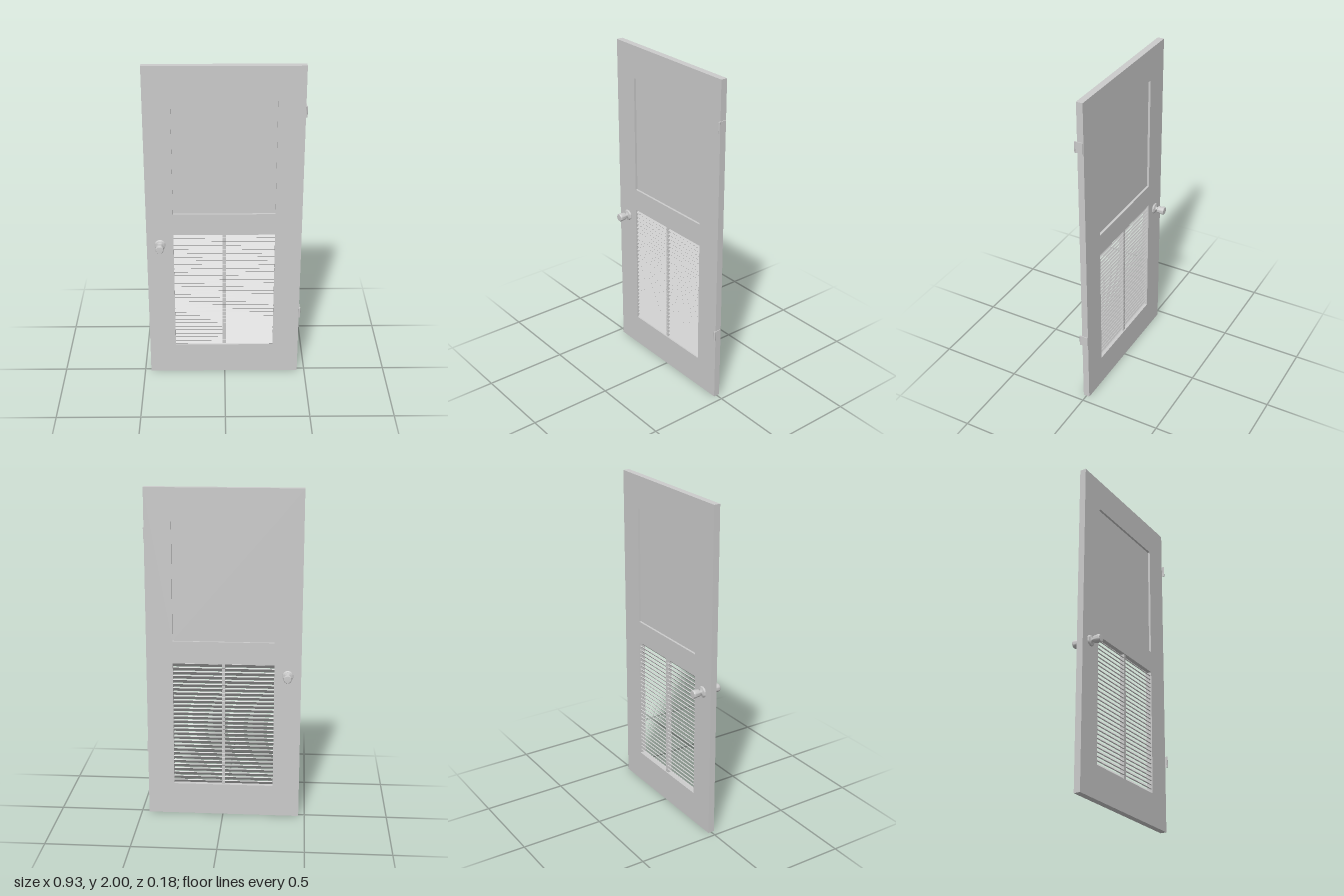
import * as THREE from 'three';
import { toCreasedNormals } from 'three/addons/utils/BufferGeometryUtils.js';

const LEFT = -0.463, RIGHT = 0.455, HEIGHT = 2, THICK = 0.039;
const OPEN = { x0: -0.304, x1: 0.298 };
const PANEL = { y0: 1.097, y1: 1.805 };
const LOUVRE = { y0: 0.194, y1: 0.962 };
const KNOB = { x: -0.384, y: 0.897 };

export function createModel() {
  const group = new THREE.Group();
  const material = new THREE.MeshStandardMaterial({ color: 0xcccccc });

  const add = (name, geometry, x, y, z, parent = group) => {
    const mesh = new THREE.Mesh(geometry, material);
    mesh.name = name;
    mesh.position.set(x, y, z);
    parent.add(mesh);
    return mesh;
  };
  const rectangle = (target, x0, y0, x1, y1) => {
    target.moveTo(x0, y0).lineTo(x1, y0).lineTo(x1, y1).lineTo(x0, y1).closePath();
    return target;
  };

  // Door slab with two rectangular openings
  const slab = rectangle(new THREE.Shape(), LEFT, 0, RIGHT, HEIGHT);
  for (const o of [PANEL, LOUVRE])
    slab.holes.push(rectangle(new THREE.Path(), OPEN.x0, o.y0, OPEN.x1, o.y1));
  add('doorFrame', new THREE.ExtrudeGeometry(slab, { depth: THICK, bevelEnabled: false }),
    0, 0, -THICK / 2);

  // Recessed upper panel
  const midX = (OPEN.x0 + OPEN.x1) / 2, openWidth = OPEN.x1 - OPEN.x0;
  add('upperPanel', new THREE.BoxGeometry(openWidth, PANEL.y1 - PANEL.y0, 0.012),
    midX, (PANEL.y0 + PANEL.y1) / 2, 0);

  // Tilted louvre slats, front edge low, with a centre bar
  const louvre = new THREE.Group();
  louvre.name = 'louvre';
  group.add(louvre);
  const count = 30, pitch = (LOUVRE.y1 - LOUVRE.y0) / count;
  const slat = new THREE.BoxGeometry(openWidth, 0.006, 0.034);
  for (let i = 0; i < count; i++)
    add('slat', slat, midX, LOUVRE.y0 + (i + 0.5) * pitch, 0, louvre).rotation.x = Math.PI / 4;
  add('centreBar', new THREE.BoxGeometry(0.02, LOUVRE.y1 - LOUVRE.y0, 0.026),
    midX, (LOUVRE.y0 + LOUVRE.y1) / 2, 0, louvre);

  // Turned knob with rosette and neck, on both faces
  const profile = [
    [0, 0.017], [0.033, 0.017], [0.033, 0.023], [0.028, 0.028], [0.016, 0.03],
    [0.011, 0.034], [0.011, 0.041], [0.017, 0.045], [0.021, 0.048],
    [0.025, 0.08], [0.024, 0.086], [0.021, 0.09], [0, 0.091],
  ].map(([r, h]) => new THREE.Vector2(r, h));
  const knob = toCreasedNormals(new THREE.LatheGeometry(profile, 24), 0.6);
  add('frontKnob', knob, KNOB.x, KNOB.y, 0).rotation.x = Math.PI / 2;
  add('backKnob', knob, KNOB.x, KNOB.y, 0).rotation.x = -Math.PI / 2;

  // Two hinges: flat leaf on the edge and a barrel in front
  for (const y of [0.43, 1.736]) {
    const hinge = new THREE.Group();
    hinge.name = 'hinge';
    hinge.position.set(RIGHT, y, 0);
    group.add(hinge);
    add('hingeLeaf', new THREE.BoxGeometry(0.005, 0.066, 0.046), 0.002, 0, 0.007, hinge);
    add('hingeBarrel', new THREE.CylinderGeometry(0.005, 0.005, 0.066, 12), 0.003, 0, 0.03, hinge);
  }
  return group;
}
